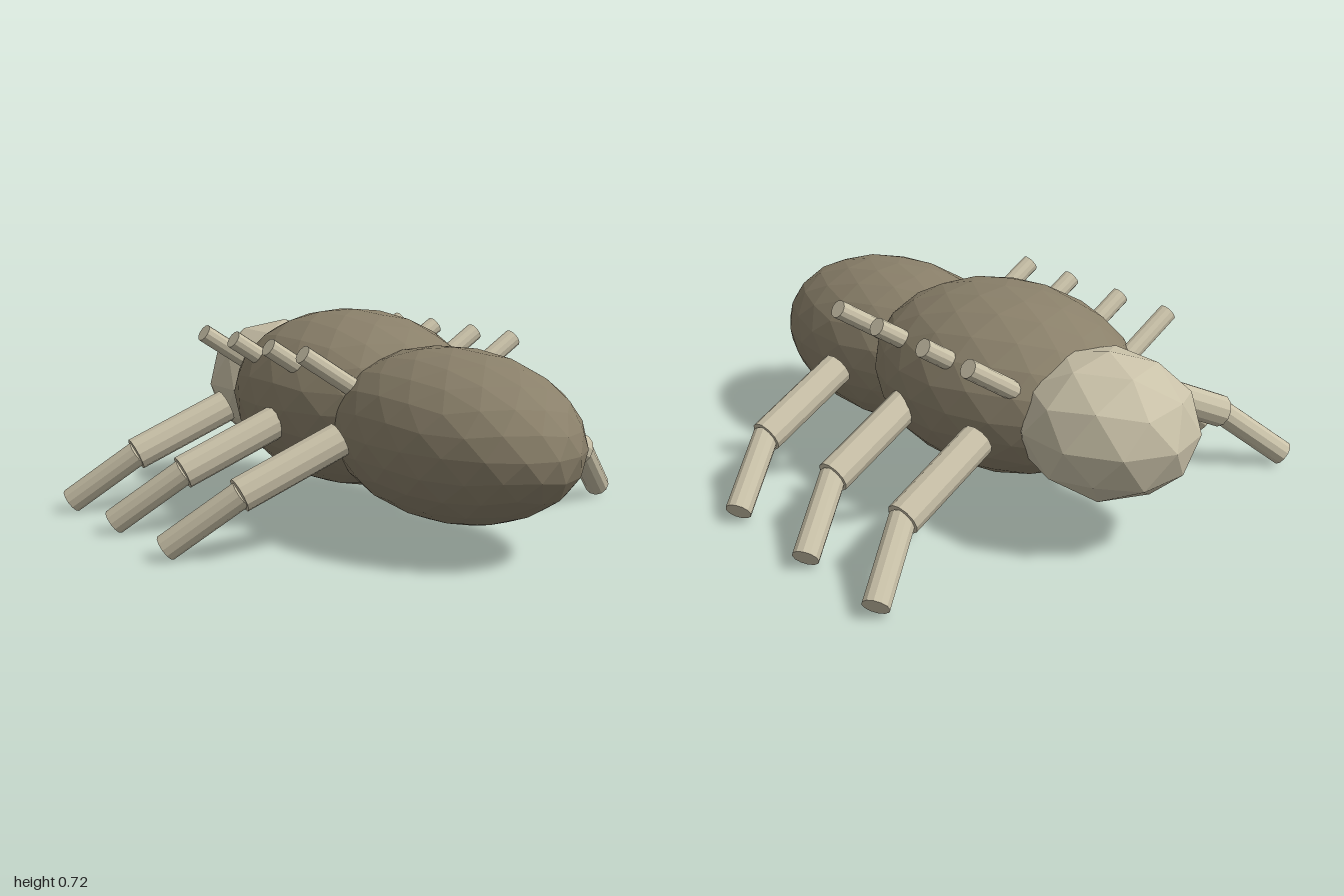
import * as THREE from 'three';

const bodyMat = new THREE.MeshStandardMaterial({ color: 0x8a806a, flatShading: true });
bodyMat.name = 'dark tan';
const paleMat = new THREE.MeshStandardMaterial({ color: 0xc9c1a8, flatShading: true });
paleMat.name = 'pale tan';

// Icosphere made by repeated halving, with its pole on y, stretched to an ellipsoid.
function ellipsoid(name, mat, halvings, radii, centre) {
  const ico = new THREE.IcosahedronGeometry(1, 0).rotateZ(-Math.atan(2 / (1 + Math.sqrt(5))));
  const p = ico.attributes.position;
  let tris = [];
  for (let i = 0; i < p.count; i += 3) {
    tris.push([0, 1, 2].map(k => new THREE.Vector3().fromBufferAttribute(p, i + k)));
  }
  const mid = (a, b) => a.clone().add(b).normalize();
  for (let n = 0; n < halvings; n++) {
    tris = tris.flatMap(([a, b, c]) => {
      const ab = mid(a, b), bc = mid(b, c), ca = mid(c, a);
      return [[a, ab, ca], [ab, b, bc], [ca, bc, c], [ab, bc, ca]];
    });
  }
  const geo = new THREE.BufferGeometry().setFromPoints(tris.flat());
  geo.scale(...radii);
  geo.computeVertexNormals();
  const mesh = new THREE.Mesh(geo, mat);
  mesh.name = name;
  mesh.position.set(...centre);
  return mesh;
}

// Straight rod between two points.
function rod(name, from, to, radius) {
  const a = new THREE.Vector3(...from), b = new THREE.Vector3(...to);
  const dir = b.clone().sub(a);
  const mesh = new THREE.Mesh(new THREE.CylinderGeometry(radius, radius, dir.length(), 12), paleMat);
  mesh.name = name;
  mesh.position.copy(a).add(b).multiplyScalar(0.5);
  mesh.quaternion.setFromUnitVectors(new THREE.Vector3(0, 1, 0), dir.normalize());
  return mesh;
}

export function createModel() {
  const model = new THREE.Group();
  model.name = 'insect';

  // Three body sections along z
  model.add(
    ellipsoid('frontBody', bodyMat, 2, [0.34, 0.286, 0.55], [0, 0.367, 0.45]),
    ellipsoid('middleBody', bodyMat, 2, [0.4, 0.313, 0.53], [0, 0.412, -0.17]),
    ellipsoid('rearBall', paleMat, 1, [0.285, 0.243, 0.316], [0, 0.398, -0.684])
  );

  for (const [side, s] of [['left', 1], ['right', -1]]) {
    // Two-part legs
    [0, -0.415, -0.8].forEach((dz, i) => {
      const leg = new THREE.Group();
      leg.name = `${side}Leg${i + 1}`;
      leg.add(
        rod('upperLeg', [s * 0.36, 0.365, 0.325], [s * 0.695, 0.21, 0.268], 0.058),
        rod('lowerLeg', [s * 0.69, 0.215, 0.274], [s * 0.892, 0.037, 0.134], 0.045)
      );
      leg.position.z = dz;
      model.add(leg);
    });
    // Short spines along the back
    [0.205, -0.025, -0.28, -0.512].forEach((z, i) => {
      model.add(rod(`${side}Spine${i + 1}`, [s * 0.2, 0.485, z], [s * 0.427, 0.632, z], 0.032));
    });
  }
  return model;
}
